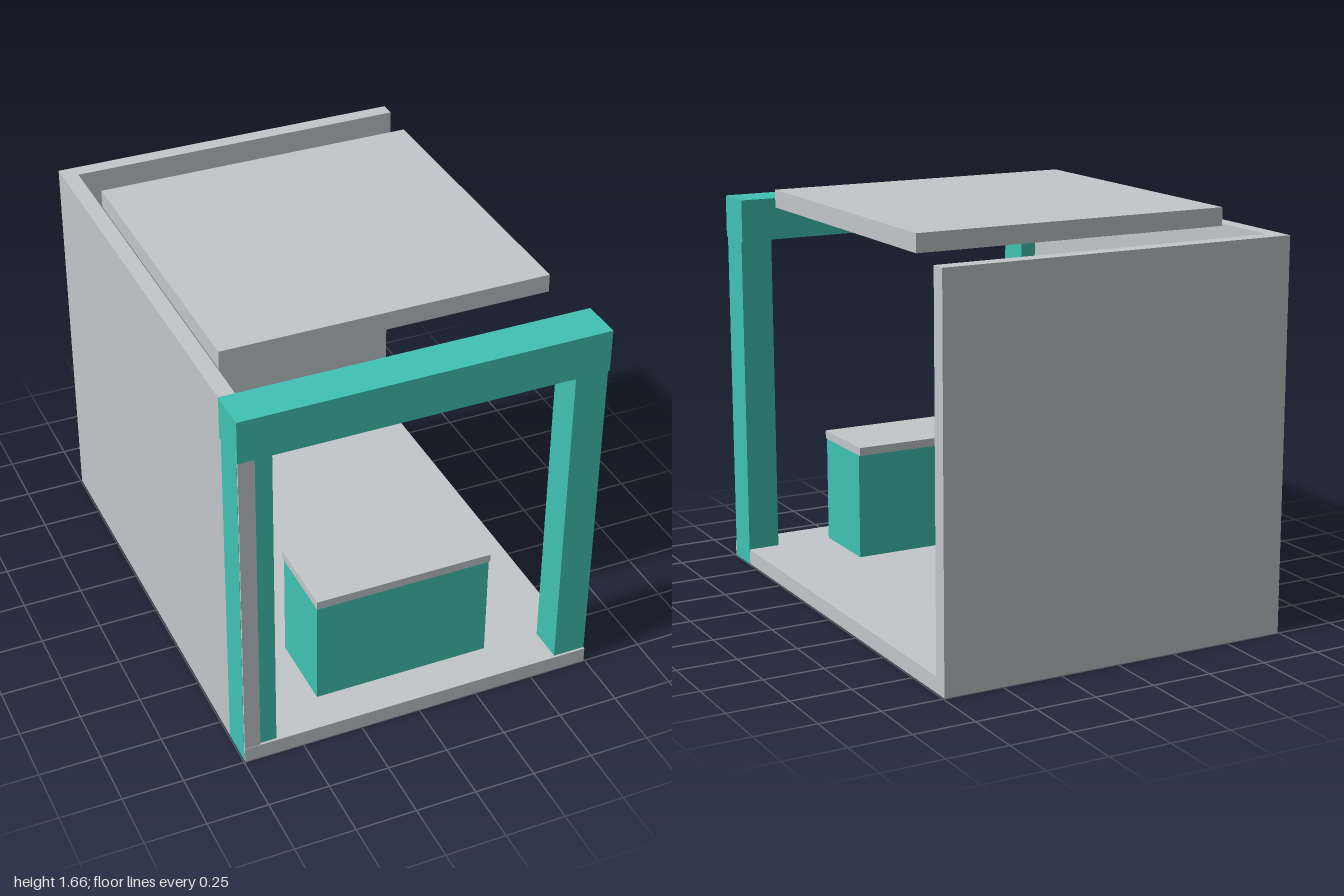
import * as THREE from 'three';

export function createModel() {
  const model = new THREE.Group();
  model.name = 'booth';

  const grey = new THREE.MeshStandardMaterial({ color: 0xc3c7ca });
  grey.name = 'panel grey';
  const teal = new THREE.MeshStandardMaterial({ color: 0x40c2b3 });
  teal.name = 'teal';

  // Box given by its [min, max] extent on each axis
  function block(name, material, [x0, x1], [y0, y1], [z0, z1]) {
    const mesh = new THREE.Mesh(new THREE.BoxGeometry(x1 - x0, y1 - y0, z1 - z0), material);
    mesh.position.set((x0 + x1) / 2, (y0 + y1) / 2, (z0 + z1) / 2);
    mesh.name = name;
    model.add(mesh);
  }

  const W = 0.745, H = 1.595, T = 0.065; // half width, wall height, panel thickness
  const proud = 0.001; // keeps flush faces from flickering

  // Shell: floor, back wall and the one closed side
  block('floor', grey, [-W, W], [0, T], [-1, 1]);
  block('backWall', grey, [-W, W], [T, H], [-1, -1 + T]);
  block('sideWall', grey, [-W, -W + T], [T, H], [-1 + T, 0.998]);

  // Hovering roof panel
  block('roofPanel', grey, [-0.673, 0.67], [1.588, 1.662], [-0.65, 0.645]);

  // Front frame: two posts carrying a beam
  block('rightPost', teal, [-W - proud, -0.61], [proud, 1.43], [0.84, 0.99]);
  block('leftPost', teal, [0.61, W + proud], [-proud, 1.43], [0.84, 0.99]);
  block('beam', teal, [-W - 2 * proud, W + 2 * proud], [1.423, 1.599], [0.827, 1]);

  // Side wall end behind the beam shares the frame colour
  block('wallEndCladding', teal, [-W - proud, -W + 0.004], [proud, 1.43], [0.84, 0.99]);

  // Counter
  block('counter', teal, [-0.372, 0.37], [T, 0.525], [0.508, 0.835]);
  block('counterTop', grey, [-0.374, 0.372], [0.52, 0.555], [0.493, 0.843]);

  return model;
}
